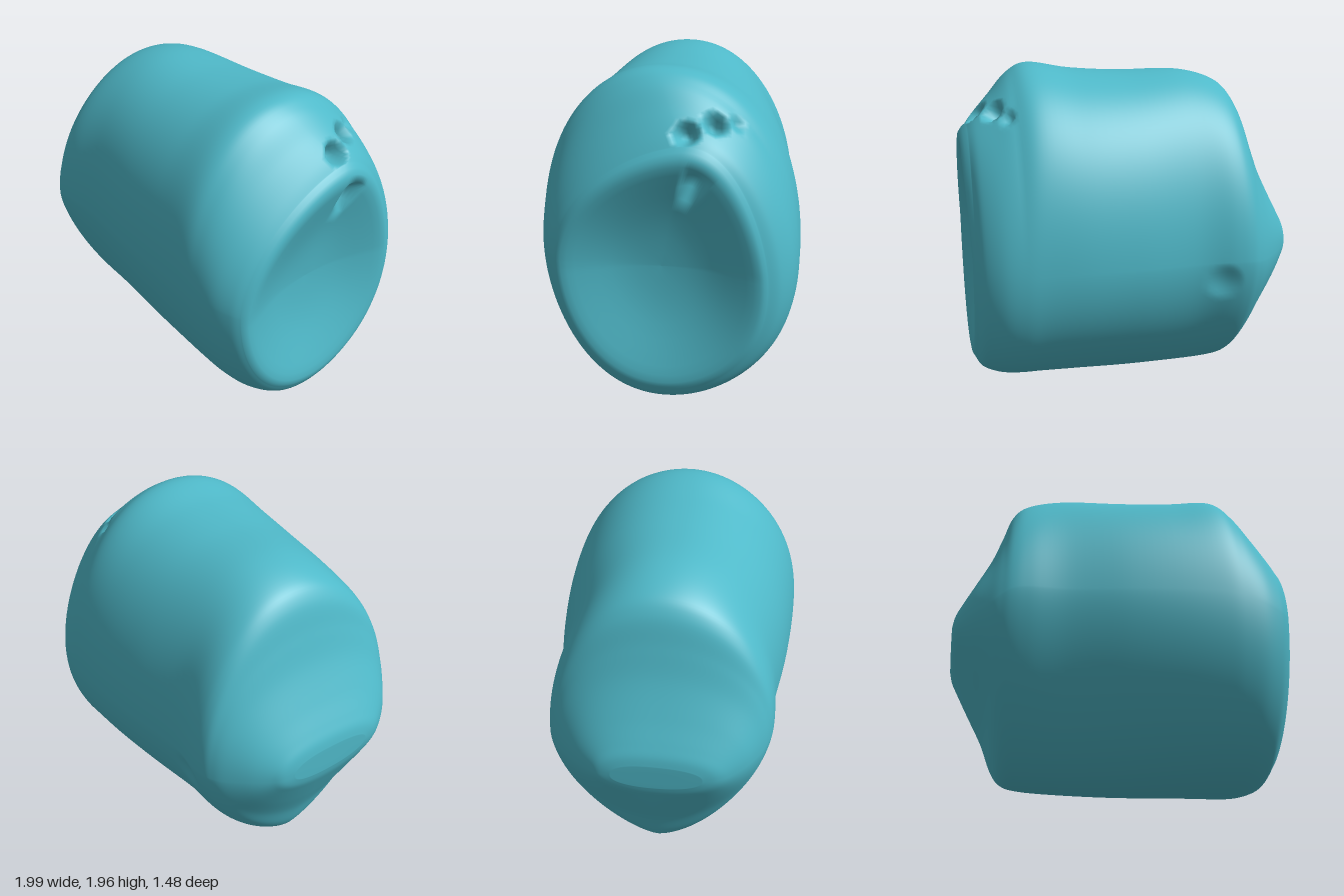
import * as THREE from 'three';

// Stations along x: x, top, bottom, front z, back z, widest height, crest z, upper and lower squareness
const STATIONS = [
  [-1.0, 0.94, 0.78, 0.3, -0.22, 0.86, 0.03, 2.4, 2.2],
  [-0.985, 1.0, 0.72, 0.38, -0.3, 0.86, 0.03, 2.4, 2.1],
  [-0.95, 1.07, 0.64, 0.45, -0.36, 0.86, 0.03, 2.35, 2],
  [-0.88, 1.2, 0.49, 0.54, -0.46, 0.87, 0.03, 2.3, 1.85],
  [-0.79, 1.39, 0.3, 0.615, -0.56, 0.88, 0.03, 2.2, 1.7],
  [-0.73, 1.57, 0.13, 0.65, -0.61, 0.9, 0.03, 2.1, 1.58],
  [-0.67, 1.75, 0.045, 0.67, -0.64, 0.92, 0.03, 2.05, 1.55],
  [-0.57, 1.845, 0.015, 0.675, -0.65, 0.93, 0.03, 2.05, 1.58],
  [-0.35, 1.9, 0.005, 0.67, -0.64, 0.93, 0.03, 2.1, 1.65],
  [0.0, 1.9, 0.008, 0.71, -0.7, 0.94, 0.04, 2.15, 1.72],
  [0.3, 1.92, 0.025, 0.73, -0.735, 0.95, 0.05, 2.15, 1.83],
  [0.55, 1.96, 0.04, 0.735, -0.74, 0.95, 0.05, 2.1, 1.95],
  [0.68, 1.91, 0.045, 0.725, -0.735, 0.93, 0.02, 1.95, 2],
  [0.8, 1.79, 0.06, 0.7, -0.71, 0.91, -0.04, 1.8, 2.02],
  [0.9, 1.69, 0.1, 0.65, -0.65, 0.89, -0.1, 1.7, 2.02],
  [0.945, 1.635, 0.165, 0.61, -0.58, 0.88, -0.13, 1.7, 2.02],
];

// Dished end: ring scale, x offset
const DISH = [[0.97, 0.012], [0.93, 0.016], [0.87, 0.011], [0.8, -0.002], [0.7, -0.022],
  [0.6, -0.042], [0.48, -0.064], [0.36, -0.08], [0.24, -0.09], [0.12, -0.095], [0, -0.097]];

// Pits: centre, push direction, radius, depth
const PITS = [
  [[0.97, 1.43, -0.17], [-1, -0.1, 0], 0.09, 0.11],
  [[0.88, 1.68, -0.12], [-0.8, -0.5, 0], 0.08, 0.13],
  [[0.8, 1.72, -0.27], [-0.7, -0.6, 0.2], 0.075, 0.11],
  [[0.74, 1.72, -0.4], [-0.6, -0.6, 0.4], 0.06, 0.05],
  [[-0.5, 0.72, -0.64], [0, 0, 1], 0.12, 0.025],
];

const AROUND = 160;
const STEPS = 7;

function catmull(a, b, c, d, t) {
  return 0.5 * (2 * b + (c - a) * t + (2 * a - 5 * b + 4 * c - d) * t * t + (3 * b - a - 3 * c + d) * t * t * t);
}

// Uneven oval with separate reach in each quadrant, the front bulging higher than the back
function ring([x, top, bottom, front, back, cy, crest, upper, lower]) {
  const points = [];
  const tilt = 0.045 * (top - bottom);
  for (let j = 0; j < AROUND; j++) {
    const a = (j / AROUND) * Math.PI * 2;
    const c = Math.cos(a), s = Math.sin(a);
    const n = s < 0 ? lower : c > 0 ? upper : Math.max(upper, 1.95);
    const u = Math.sign(c) * Math.abs(c) ** (2 / n);
    const v = Math.sign(s) * Math.abs(s) ** (2 / n);
    const cz = crest * Math.max(v, 0);
    points.push(new THREE.Vector3(
      x,
      cy + v * (v > 0 ? top - cy : cy - bottom) + tilt * u * (1 - v * v),
      cz + u * (u > 0 ? front - cz : cz - back)));
  }
  return points;
}

function buildRings() {
  const rings = [];
  const at = (i) => STATIONS[Math.min(Math.max(i, 0), STATIONS.length - 1)];
  // Wedge end closes to a point
  const first = ring(STATIONS[0]);
  const tip = new THREE.Vector3(-1, 0.86, 0.04);
  for (const k of [0, 0.5]) rings.push(first.map((p) => tip.clone().lerp(p, k)));
  // Body
  for (let i = 0; i < STATIONS.length - 1; i++) {
    for (let k = 0; k < STEPS; k++) {
      rings.push(ring(at(i).map((_, m) => catmull(at(i - 1)[m], at(i)[m], at(i + 1)[m], at(i + 2)[m], k / STEPS))));
    }
  }
  // Dished end, with its upper rim standing further out
  const last = ring(at(STATIONS.length));
  rings.push(last);
  const hub = new THREE.Vector3(0.945, 0.9, 0.02);
  for (const [scale, offset] of DISH) {
    rings.push(last.map((p) => {
      const q = hub.clone().lerp(p, scale);
      q.x += offset + 0.055 * Math.max(0, q.y - 0.9) * Math.min(1, (1 - scale) * 10);
      return q;
    }));
  }
  return rings;
}

function buildGeometry() {
  const rings = buildRings();
  const positions = [], index = [];
  for (const points of rings) {
    for (const p of points) {
      const q = p.clone();
      for (const [centre, dir, radius, depth] of PITS) {
        const d = p.distanceTo(new THREE.Vector3(...centre)) / radius;
        if (d < 1) q.addScaledVector(new THREE.Vector3(...dir).normalize(), depth * (1 - d * d) ** 1.5);
      }
      positions.push(q.x, q.y, q.z);
    }
  }
  for (let i = 0; i < rings.length - 1; i++) {
    for (let j = 0; j < AROUND; j++) {
      const k = (j + 1) % AROUND;
      const a = i * AROUND + j, b = a + AROUND, c = i * AROUND + k, d = c + AROUND;
      if (i < rings.length - 2) index.push(b, d, c);
      if (i > 0) index.push(a, b, c);
    }
  }
  const geometry = new THREE.BufferGeometry();
  geometry.setAttribute('position', new THREE.Float32BufferAttribute(positions, 3));
  geometry.setIndex(index);
  geometry.computeVertexNormals();
  return geometry;
}

export function createModel() {
  const group = new THREE.Group();
  group.name = 'roundedBlock';
  const teal = new THREE.MeshStandardMaterial({ color: 0x4fb9c9 });
  teal.name = 'teal';
  const body = new THREE.Mesh(buildGeometry(), teal);
  body.name = 'body';
  group.add(body);
  return group;
}
